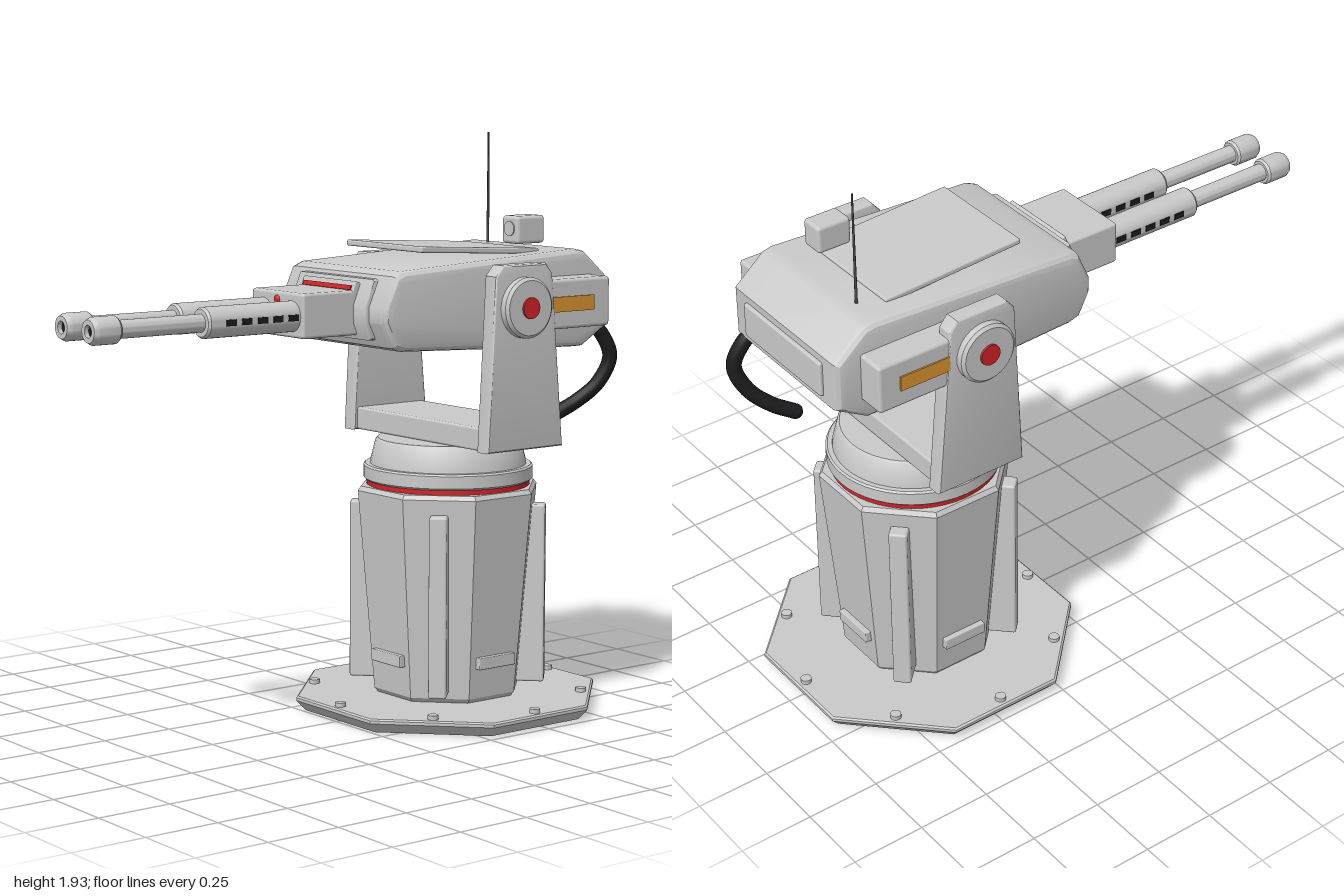
import * as THREE from 'three';
import { toCreasedNormals } from 'three/addons/utils/BufferGeometryUtils.js';
import { RoundedBoxGeometry } from 'three/addons/geometries/RoundedBoxGeometry.js';

const paint = (name, color) => Object.assign(new THREE.MeshStandardMaterial({ color }), { name });
const V2 = (p) => new THREE.Vector2(p[0], p[1]);

export function createModel() {
  const grey = paint('light grey', 0xcacaca);
  const black = paint('black', 0x1c1c1e);
  const metal = paint('dark metal', 0x4a4a4c);
  const red = paint('red', 0xd02428);
  const orange = paint('orange', 0xdb9530);

  const model = new THREE.Group();
  model.name = 'turret';
  const PZ = -0.475; // vertical turning axis
  const PY = 1.385; // height of the tilting axis

  function add(name, geometry, material, x = 0, y = 0, z = 0, parent = model) {
    const mesh = new THREE.Mesh(geometry, material);
    mesh.name = name;
    mesh.position.set(x, y, z);
    parent.add(mesh);
    return mesh;
  }
  const box = (w, h, d, r = 0.008) => new RoundedBoxGeometry(w, h, d, 2, r);
  // turned part, profile given as [radius, height] from bottom to top
  const turned = (profile, sides = 40, start = 0) =>
    toCreasedNormals(new THREE.LatheGeometry(profile.map(V2), sides, start), 0.5);
  // side profile [z, y] extruded across x, with bevelled edges
  function slab(profile, width, bevel) {
    const g = new THREE.ExtrudeGeometry(new THREE.Shape(profile.map(V2)), {
      depth: width - 2 * bevel, bevelEnabled: true, bevelSize: bevel,
      bevelThickness: bevel, bevelOffset: -bevel, bevelSegments: 3,
    });
    g.translate(0, 0, -width / 2 + bevel);
    g.rotateY(-Math.PI / 2);
    return toCreasedNormals(g, 0.5);
  }
  // apothem -> corner radius for octagonal parts
  const oct = (profile) =>
    turned(profile.map(([a, y]) => [a / Math.cos(Math.PI / 8), y]), 8, Math.PI / 8);

  // Octagonal foot and pedestal
  add('basePlate', oct([[0, 0], [0.46, 0], [0.49, 0.035], [0.49, 0.045], [0.484, 0.05], [0, 0.05]]), grey, 0, 0, PZ);
  add('pedestal', oct([[0, 0.045], [0.222, 0.045], [0.237, 0.065], [0.292, 0.745], [0.282, 0.76], [0, 0.76]]), grey, 0, 0, PZ);

  // Bolts all round, ribs on the diagonals, small panels on the straight faces
  for (let i = 0; i < 8; i++) {
    const a = (i * Math.PI) / 4;
    add('baseBolt', new THREE.CylinderGeometry(0.018, 0.018, 0.02, 16), grey,
      Math.sin(a) * 0.457, 0.054, PZ + Math.cos(a) * 0.457);
    const side = new THREE.Group();
    side.name = i % 2 ? 'ribSide' : 'panelSide';
    side.position.z = PZ;
    side.rotation.y = a;
    model.add(side);
    if (i % 2) add('rib', box(0.06, 0.61, 0.15), grey, 0, 0.39, 0.257, side);
    else add('pedestalPanel', box(0.155, 0.04, 0.04, 0.003), grey, 0, 0.187, 0.247, side);
  }

  // Rotating collar with red ring
  add('redRing', new THREE.CylinderGeometry(0.276, 0.276, 0.03, 48), red, 0, 0.768, PZ);
  add('collar', turned([[0, 0.777], [0.28, 0.777], [0.286, 0.783], [0.286, 0.824], [0.28, 0.83],
    [0.264, 0.83], [0.262, 0.845], [0.246, 0.908], [0.238, 0.917], [0, 0.917]], 48), grey, 0, 0, PZ);

  // Yoke
  add('yokeBase', box(0.7, 0.077, 0.29), grey, 0, 0.955, PZ - 0.01);
  const arm = slab([[-0.325, 0.915], [-0.65, 0.915], [-0.598, 1.49], [-0.57, 1.525],
    [-0.385, 1.525], [-0.355, 1.49]], 0.06, 0.01);
  for (const s of [1, -1]) {
    const label = s > 0 ? 'left' : 'right';
    add(label + 'YokeArm', arm, grey, s * 0.356, 0, 0);
    const pivot = new THREE.Group();
    pivot.name = label + 'Pivot';
    pivot.position.set(0, PY, PZ);
    pivot.rotation.z = -s * Math.PI / 2;
    model.add(pivot);
    add('pivotHub', new THREE.CylinderGeometry(0.07, 0.07, 0.12, 32), grey, 0, 0.29, 0, pivot);
    add('pivotCap', turned([[0, 0.38], [0.1, 0.38], [0.1, 0.408], [0.09, 0.417], [0, 0.417]]), grey, 0, 0, 0, pivot);
    add('pivotLight', new THREE.CylinderGeometry(0.035, 0.035, 0.008, 24), red, 0, 0.42, 0, pivot);
    add(label + 'SidePod', box(0.11, 0.165, 0.32, 0.012), grey, s * 0.327, PY, -0.695);
    add(label + 'PodStripe', new THREE.BoxGeometry(0.008, 0.05, 0.18), orange, s * 0.383, PY, -0.69);
  }

  // Gun body
  add('gunBody', slab([[0.02, 1.35], [0.02, 1.40], [-0.025, 1.5], [-0.06, 1.515], [-0.35, 1.53],
    [-0.8, 1.553], [-0.835, 1.545], [-0.94, 1.455], [-0.94, 1.29], [-0.83, 1.225],
    [-0.78, 1.225], [-0.06, 1.257], [-0.02, 1.27]], 0.575, 0.028), grey);
  add('rearPanel', box(0.42, 0.12, 0.03), grey, 0, 1.372, -0.937);
  add('mantlet', slab([[0.036, 1.345], [0.036, 1.405], [0.002, 1.488], [-0.1, 1.49],
    [-0.1, 1.29], [0.015, 1.292]], 0.4, 0.012), grey);
  add('barrelHousing', box(0.28, 0.145, 0.26, 0.01), grey, 0, 1.378, 0.107);
  add('housingLip', box(0.28, 0.05, 0.03, 0.005), grey, 0, 1.452, 0.022).rotation.x = -0.35;
  add('redStrip', new THREE.BoxGeometry(0.255, 0.015, 0.008), red, 0, 1.458, 0.036).rotation.x = -0.35;
  const lamp = add('redLamp', new THREE.SphereGeometry(0.014, 16, 10), red, 0, 1.424, 0.237);
  lamp.scale.z = 0.6;

  // Twin barrels, with cooling slots on both sides
  const sleeve = turned([[0, 0.22], [0.05, 0.22], [0.05, 0.58], [0.044, 0.588], [0.029, 0.588],
    [0.029, 0.9], [0.038, 0.9], [0.044, 0.908], [0.044, 0.985], [0.036, 1], [0.02, 1], [0.02, 0.96]], 32);
  for (const s of [1, -1]) {
    const barrel = new THREE.Group();
    barrel.name = s > 0 ? 'leftBarrel' : 'rightBarrel';
    barrel.position.set(s * 0.077, 1.375, 0);
    model.add(barrel);
    add('barrelTube', sleeve, grey, 0, 0, 0, barrel).rotation.x = Math.PI / 2;
    add('bore', new THREE.CircleGeometry(0.021, 24), black, 0, 0, 0.985, barrel);
    for (let i = 0; i < 5; i++)
      for (const t of [1, -1])
        add('coolingSlot', new THREE.BoxGeometry(0.009, 0.02, 0.038), black, t * 0.048, 0, 0.265 + i * 0.06, barrel);
  }

  // Roof hatch, sensor and aerial
  add('roofHatch', box(0.4, 0.02, 0.505, 0.006), grey, 0, 1.56, -0.447).rotation.x = -0.055;
  add('sensorBox', box(0.083, 0.093, 0.12, 0.012), grey, 0.15, 1.618, -0.672);
  add('sensorLens', new THREE.CylinderGeometry(0.025, 0.025, 0.008, 24), grey, 0.15, 1.622, -0.612).rotation.x = Math.PI / 2;
  add('aerial', new THREE.CylinderGeometry(0.003, 0.005, 0.4, 8), metal, -0.155, 1.73, -0.775);

  // Power cable behind
  const path = new THREE.CatmullRomCurve3([[0.24, 1.3, -0.9], [0.25, 1.255, -0.942], [0.258, 1.18, -0.972],
    [0.235, 1.09, -0.94], [0.2, 1.03, -0.88], [0.172, 0.988, -0.81]].map((p) => new THREE.Vector3(...p)));
  add('cable', new THREE.TubeGeometry(path, 40, 0.025, 14), black);
  add('cableEnd', new THREE.SphereGeometry(0.025, 14, 10), black, 0.172, 0.988, -0.81);

  return model;
}
